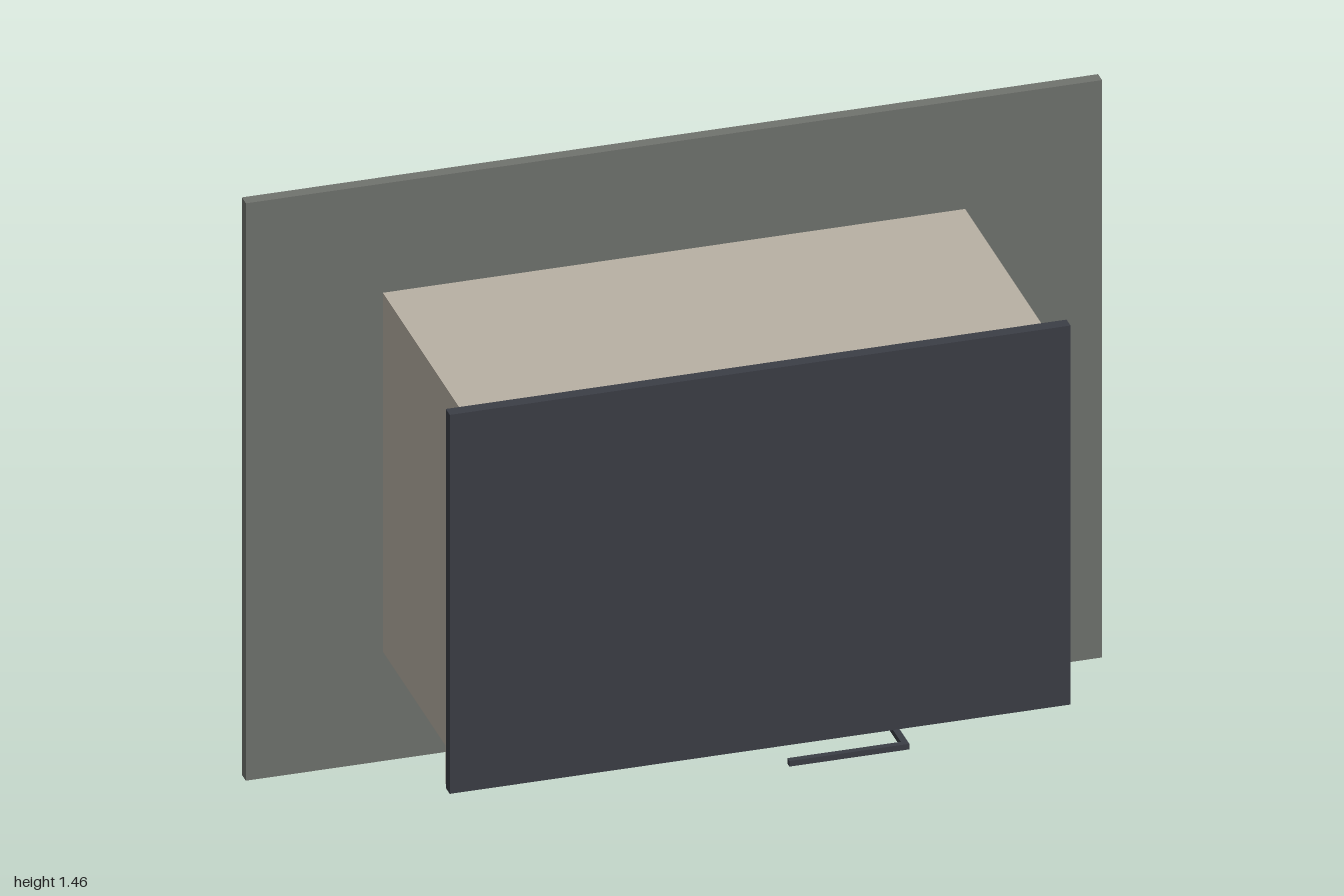
import * as THREE from 'three';

const mat = (color) => new THREE.MeshStandardMaterial({ color });

export function createModel() {
  const model = new THREE.Group();
  const beige = mat(0xb8b0a3), dark = mat(0x3b3e46), wallGrey = mat(0x70736e);
  const grey = mat(0x8a8884), green = mat(0x3f6b4a), teal = mat(0x4f7f80), pale = mat(0xc6beb6);

  // Box given by its extents on each axis
  const box = (name, material, [x0, x1], [y0, y1], [z0, z1]) => {
    const mesh = new THREE.Mesh(new THREE.BoxGeometry(x1 - x0, y1 - y0, z1 - z0), material);
    mesh.position.set((x0 + x1) / 2, (y0 + y1) / 2, (z0 + z1) / 2);
    mesh.name = name;
    model.add(mesh);
    return mesh;
  };

  // Wall panel, two-part housing and front panel
  box('wallPanel', wallGrey, [-1, 1], [0, 1.455], [-0.34, -0.31]);
  box('rearHousing', beige, [-0.68, 0.68], [0.276, 1.18], [-0.31, -0.005]);
  box('housingSeam', beige, [-0.68, 0.68], [0.276, 1.18], [-0.005, 0.02]);
  box('frontHousing', beige, [-0.68, 0.68], [0.276, 1.18], [0.02, 0.29]);
  box('frontPanel', dark, [-0.725, 0.725], [0.25, 1.205], [0.31, 0.34]);

  // Lower apron with its label plate and latch
  box('apron', beige, [-0.635, 0.635], [0.1, 0.276], [0.015, 0.028]);
  box('labelPlate', pale, [-0.365, -0.075], [0.13, 0.2], [0.042, 0.083]);
  box('latchBlock', dark, [0.08, 0.185], [0.145, 0.203], [0.055, 0.085]);

  // L-shaped handle
  box('handleArm', dark, [0.355, 0.37], [0.157, 0.171], [0.025, 0.255]);
  box('handleBar', dark, [0.09, 0.37], [0.157, 0.171], [0.255, 0.27]);

  // Cards tucked against the wall
  box('rearCard', beige, [0.25, 0.785], [0.12, 0.48], [-0.299, -0.284]);
  box('rearCardBacking', teal, [0.3, 0.74], [0.125, 0.41], [-0.31, -0.299]);

  // Thumb wheel half sunk in the side, and a small catch
  const wheel = new THREE.Mesh(new THREE.CylinderGeometry(0.07, 0.07, 0.07, 24), green);
  wheel.rotation.x = Math.PI / 2;
  wheel.position.set(0.642, 0.91, -0.12);
  wheel.name = 'thumbWheel';
  model.add(wheel);
  box('sideCatch', grey, [0.675, 0.687], [0.892, 0.927], [-0.297, -0.255]);

  return model;
}
